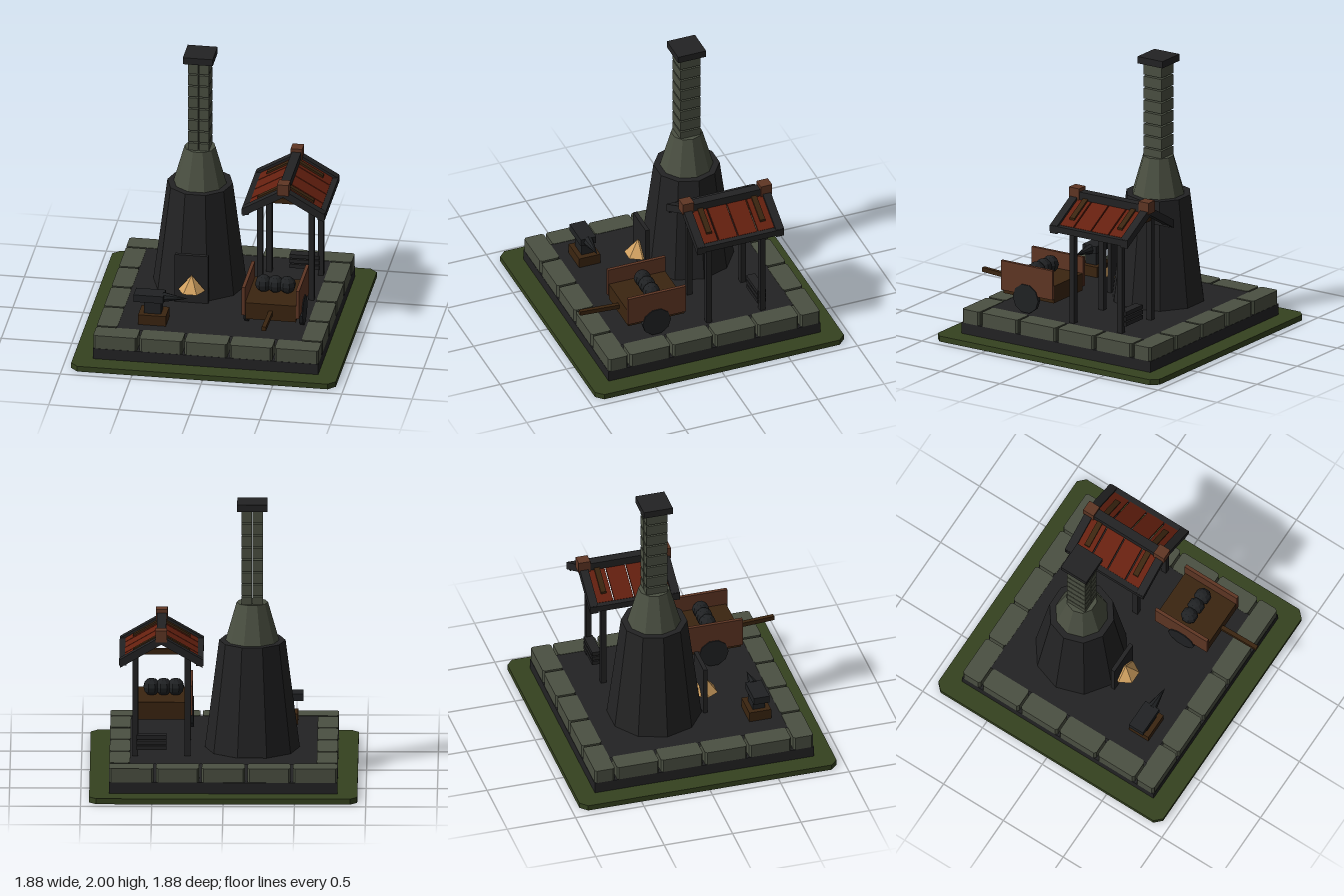
import * as THREE from 'three';

const mat = (name, color) => {
  const m = new THREE.MeshStandardMaterial({ color, flatShading: true });
  m.name = name;
  return m;
};

export function createModel() {
  const grass = mat('grass', 0x35421f);
  const stone = mat('stone', 0x4b5042);
  const dark = mat('charcoal', 0x232324);
  const iron = mat('iron', 0x202224);
  const wood = mat('dark wood', 0x3b2510);
  const red = mat('red roof', 0x65200f);
  const rust = mat('rust wood', 0x5f3624);
  const ember = mat('ember', 0xd0a060);

  const model = new THREE.Group();
  const part = (parent, name) => {
    const g = new THREE.Group();
    g.name = name;
    parent.add(g);
    return g;
  };
  const add = (parent, name, geo, material, x = 0, y = 0, z = 0) => {
    const m = new THREE.Mesh(geo, material);
    m.name = name;
    m.position.set(x, y, z);
    parent.add(m);
    return m;
  };
  // Box given by its limits on each axis
  const box = (parent, name, material, x0, x1, y0, y1, z0, z1) =>
    add(parent, name, new THREE.BoxGeometry(x1 - x0, y1 - y0, z1 - z0), material,
      (x0 + x1) / 2, (y0 + y1) / 2, (z0 + z1) / 2);
  // Upright slab with cut corners
  const cutSlab = (parent, name, material, x0, x1, y0, y1, z0, z1, c) => {
    const a = (x1 - x0) / 2, b = (z1 - z0) / 2;
    const s = new THREE.Shape([[-a + c, -b], [a - c, -b], [a, -b + c], [a, b - c],
      [a - c, b], [-a + c, b], [-a, b - c], [-a, -b + c]].map(p => new THREE.Vector2(...p)));
    const g = new THREE.ExtrudeGeometry(s, { depth: y1 - y0, bevelEnabled: false });
    g.rotateX(-Math.PI / 2);
    return add(parent, name, g, material, (x0 + x1) / 2, y0, (z0 + z1) / 2);
  };

  // Ground: grass tile, foundation, yard floor
  const ground = part(model, 'ground');
  cutSlab(ground, 'grassTile', grass, -0.94, 0.94, 0, 0.04, -0.94, 0.94, 0.05);
  box(ground, 'foundation', dark, -0.8, 0.8, 0.04, 0.12, -0.8, 0.8);
  add(ground, 'yardFloor', new THREE.PlaneGeometry(1.32, 1.32).rotateX(-Math.PI / 2), dark, 0, 0.217, 0);

  // Border stones: five along front and back, four along each side
  const border = part(model, 'borderStones');
  for (const s of [-1, 1]) {
    for (let i = 0; i < 5; i++) {
      const x = -0.64 + i * 0.32;
      cutSlab(border, 'borderStone', stone, x - 0.151 - (i === 0 ? 0.009 : 0), x + 0.151 + (i === 4 ? 0.009 : 0),
        0.12, 0.22, s * 0.725 - 0.073, s * 0.725 + 0.073, 0.014);
    }
    for (let i = 0; i < 4; i++) {
      const z = -0.483 + i * 0.322;
      cutSlab(border, 'borderStone', stone, s * 0.727 - 0.073, s * 0.727 + 0.073,
        0.12, 0.22, z - 0.153, z + 0.153, 0.014);
    }
  }

  // Furnace: ten-sided body, stone hood, brick chimney
  const furnace = part(model, 'furnace');
  furnace.position.set(-0.2, 0, -0.19);
  const drum = (name, material, r1, r0, y0, y1) => add(furnace, name,
    new THREE.CylinderGeometry(r1, r0, y1 - y0, 10).rotateY(Math.PI / 2), material, 0, (y0 + y1) / 2, 0);
  drum('furnaceBody', dark, 0.233, 0.333, 0.22, 0.995);
  drum('furnaceHood', stone, 0.11, 0.188, 0.995, 1.27);
  for (let i = 0; i < 8; i++) {
    const y0 = i === 0 ? 1.26 : 1.248 + i * 0.088, y1 = 1.325 + i * 0.088;
    for (const s of [-1, 1])
      box(furnace, 'chimneyBrick', stone, s * 0.038 - 0.036, s * 0.038 + 0.036, y0, y1, -0.076, 0.076);
  }
  box(furnace, 'chimneyCap', dark, -0.106, 0.106, 1.95, 2, -0.106, 0.106);
  box(furnace, 'furnaceDoor', dark, -0.123, 0.115, 0.22, 0.585, 0.325, 0.355);
  add(furnace, 'embers', new THREE.ConeGeometry(0.096, 0.115, 6).rotateY(Math.PI / 2), ember, 0, 0.382, 0.368);

  // Shelter: everything is measured from the ridge line
  const shelter = part(model, 'shelter');
  shelter.position.x = 0.436;
  const chevron = (name, material, half, apex, thick, z0, z1) => {
    const drop = half * 0.58;
    const s = new THREE.Shape([[0, apex], [-half, apex - drop], [-half, apex - drop - thick],
      [0, apex - thick], [half, apex - drop - thick], [half, apex - drop]].map(p => new THREE.Vector2(...p)));
    add(shelter, name, new THREE.ExtrudeGeometry(s, { depth: z1 - z0, bevelEnabled: false }), material, 0, 0, z0);
  };
  for (const [z0, z1] of [[-0.495, -0.375], [-0.365, -0.227], [-0.218, -0.08], [-0.07, 0.045]])
    chevron('roofPlank', red, 0.255, 1.095, 0.02, z0, z1);
  for (const [z0, z1] of [[-0.555, -0.495], [0.04, 0.1]])
    chevron('gableBoard', dark, 0.29, 1.115, 0.06, z0, z1);
  for (const z of [-0.43, -0.025]) {
    chevron('roofBatten', wood, 0.2, 1.11, 0.02, z - 0.02, z + 0.02);
    box(shelter, 'tieBeam', wood, -0.17, 0.17, 0.955, 0.995, z - 0.018, z + 0.018);
    for (const s of [-1, 1])
      box(shelter, 'shelterPost', dark, s * 0.183 - 0.02, s * 0.183 + 0.02, 0.22, 0.97, z - 0.02, z + 0.02);
  }
  for (const s of [-1, 1])
    box(shelter, 'eaveBeam', dark, s * 0.27 - 0.025, s * 0.27 + 0.025, 0.9, 0.945, -0.545, 0.1);
  box(shelter, 'ridgeBeam', dark, -0.033, 0.033, 1.075, 1.132, -0.5, 0.04);
  for (const z of [-0.522, 0.067])
    box(shelter, 'ridgeEnd', rust, -0.041, 0.041, 1.073, 1.157, z - 0.043, z + 0.043);
  for (let i = 0; i < 3; i++)
    box(shelter, 'rackBar', dark, -0.035, 0.175, 0.267 + i * 0.038, 0.296 + i * 0.038, -0.465, -0.4);

  // Handcart with its load of coal
  const cart = part(model, 'cart');
  cart.position.set(0.425, 0, 0.365);
  box(cart, 'cartBed', wood, -0.18, 0.18, 0.325, 0.45, -0.215, 0.21);
  for (const s of [-1, 1]) {
    box(cart, 'cartSide', rust, s * 0.192 - 0.012, s * 0.192 + 0.012, 0.355, 0.57, -0.218, 0.218);
    add(cart, 'cartWheel', new THREE.CylinderGeometry(0.107, 0.107, 0.028, 10).rotateZ(Math.PI / 2),
      iron, s * 0.197, 0.327, 0.005);
  }
  const handle = box(cart, 'cartHandle', wood, -0.015, 0.015, 0.375, 0.407, 0.19, 0.505);
  handle.rotation.x = -0.06;
  for (let i = -1; i <= 1; i++) {
    const lump = add(cart, 'coalLump', new THREE.SphereGeometry(0.062, 8, 6), iron, i * 0.084, 0.508, -0.005);
    lump.rotation.y = Math.PI / 8;
  }

  // Anvil on a wooden block
  const anvil = part(model, 'anvil');
  anvil.position.set(-0.42, 0, 0.493);
  box(anvil, 'anvilBlock', wood, -0.097, 0.1, 0.22, 0.295, -0.08, 0.08);
  box(anvil, 'anvilWaist', iron, -0.062, 0.06, 0.295, 0.385, -0.045, 0.045);
  box(anvil, 'anvilTop', iron, -0.133, 0.078, 0.383, 0.437, -0.058, 0.058);
  const horn = new THREE.ConeGeometry(0.038, 0.175, 8).rotateZ(-Math.PI / 2);
  add(anvil, 'anvilHorn', horn, iron, 0.155, 0.408, 0);

  return model;
}
